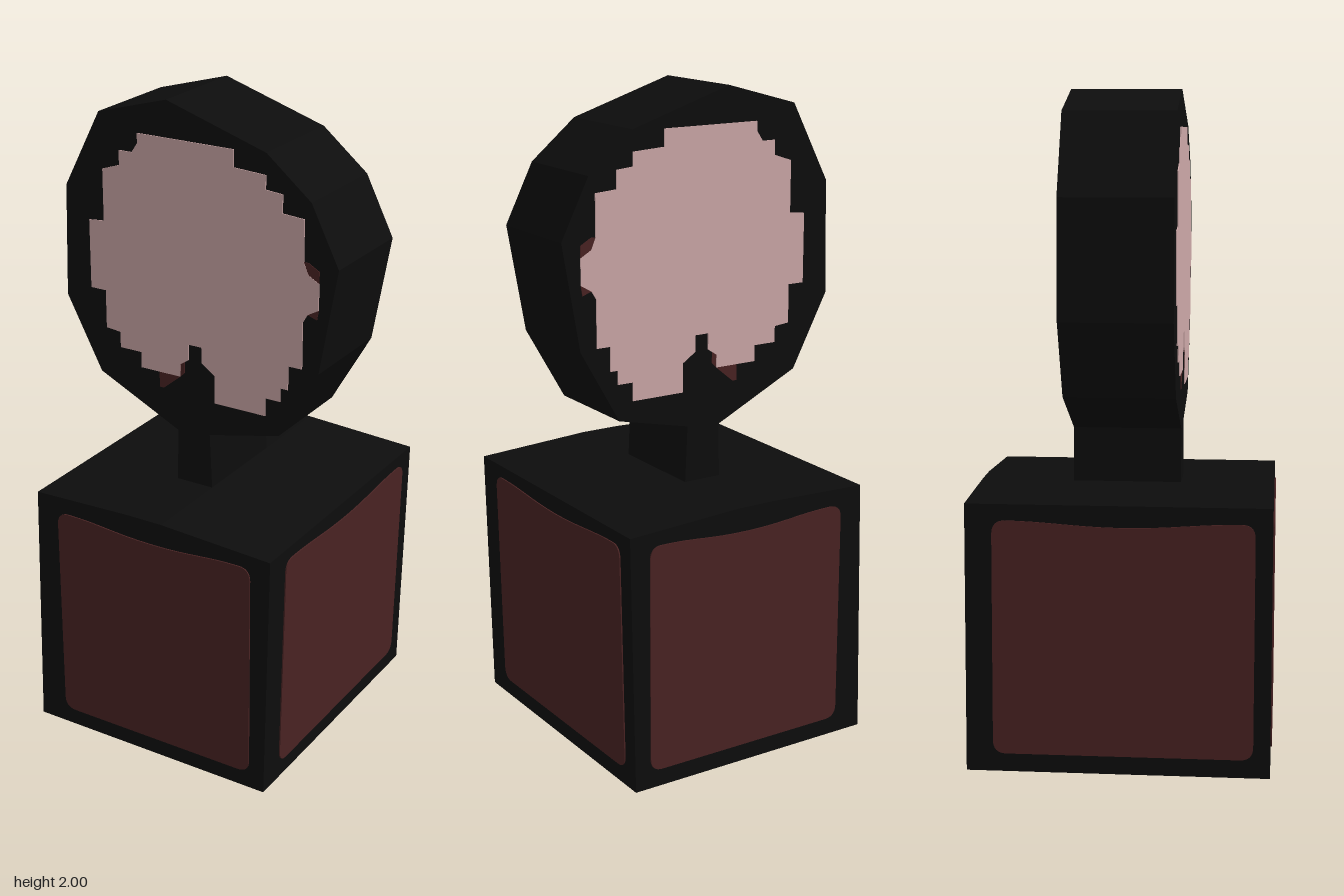
import * as THREE from 'three';

const mat = (name, color) => {
  const m = new THREE.MeshStandardMaterial({ color });
  m.name = name;
  return m;
};

const polygon = (points) => new THREE.Shape(points.map(([x, y]) => new THREE.Vector2(x, y)));

// Straight prism of a front outline, centred on z
function prism(points, depth) {
  const g = new THREE.ExtrudeGeometry(polygon(points), { depth, bevelEnabled: false });
  return g.translate(0, 0, -depth / 2);
}

// Rounded panel outline whose top edge sags gently in the middle
function panelShape(u0, u1) {
  const r = 0.04, y0 = 0.055, y1 = 0.757, mid = (u0 + u1) / 2;
  const s = new THREE.Shape();
  s.moveTo(u0 + r, y0);
  s.lineTo(u1 - r, y0);
  s.quadraticCurveTo(u1, y0, u1, y0 + r);
  s.lineTo(u1, y1 - r);
  s.quadraticCurveTo(u1, y1, u1 - r, y1);
  s.bezierCurveTo(u1 - 0.16, y1, mid + 0.14, y1 - 0.016, mid, y1 - 0.016);
  s.bezierCurveTo(mid - 0.14, y1 - 0.016, u0 + 0.16, y1, u0 + r, y1);
  s.quadraticCurveTo(u0, y1, u0, y1 - r);
  s.lineTo(u0, y0 + r);
  s.quadraticCurveTo(u0, y0, u0 + r, y0);
  return s;
}

export function createModel() {
  const group = new THREE.Group();
  const black = mat('black', 0x0d0d0d);
  const maroon = mat('maroon', 0x4a2323);
  const pink = mat('pink', 0xcea9a9);
  const add = (name, geometry, material) => {
    const mesh = new THREE.Mesh(geometry, material);
    mesh.name = name;
    group.add(mesh);
    return mesh;
  };

  // Slightly leaning base block
  add('base', prism([
    [-0.42, 0], [0.405, 0], [0.42, 0.795], [0.05, 0.815], [-0.07, 0.815], [-0.4, 0.805],
  ], 0.9), black);

  // Stem and faceted disc share one depth
  add('stem', prism([[-0.075, 0.8], [0.05, 0.8], [0.04, 1.02], [-0.07, 1.02]], 0.33), black);
  add('head', prism([
    [-0.07, 0.98], [0.04, 0.99], [0.28, 1.045], [0.408, 1.27], [0.465, 1.595], [0.375, 1.775],
    [0.23, 1.895], [-0.1, 2], [-0.335, 1.935], [-0.46, 1.695], [-0.47, 1.345], [-0.35, 1.115],
  ], 0.33), black);

  // Base panels: name, extent along the face, turn about y, seat on the face
  const plate = 0.004;
  const panels = [
    ['frontPanel', -0.325, 0.355, 0, (x, y, z) => [x, z + 0.45]],
    ['backPanel', -0.355, 0.325, Math.PI, (x, y, z) => [x, z - 0.45]],
    ['leftPanel', -0.36, 0.395, Math.PI / 2, (x, y, z) => [x + 0.405 + 0.0189 * y, z]],
    ['rightPanel', -0.37, 0.4, -Math.PI / 2, (x, y, z) => [x - 0.42 + 0.0248 * y, z]],
  ];
  for (const [name, u0, u1, turn, seat] of panels) {
    const g = new THREE.ExtrudeGeometry(panelShape(u0, u1),
      { depth: plate, bevelEnabled: false, curveSegments: 8 });
    g.rotateY(turn);
    const p = g.attributes.position;
    for (let i = 0; i < p.count; i++) {
      const [x, z] = seat(p.getX(i), p.getY(i), p.getZ(i));
      p.setX(i, x);
      p.setZ(i, z);
    }
    g.computeVertexNormals();
    add(name, g, maroon);
  }

  // Stepped pale face, cut right through so it shows front and back
  add('discFace', prism([
    [-0.2, 1.89], [-0.2, 1.86], [-0.22, 1.83], [-0.265, 1.83], [-0.265, 1.785], [-0.325, 1.765],
    [-0.325, 1.605], [-0.378, 1.6], [-0.378, 1.385], [-0.325, 1.385], [-0.325, 1.265],
    [-0.275, 1.26], [-0.275, 1.21], [-0.2, 1.21], [-0.2, 1.16], [-0.06, 1.16], [-0.06, 1.2],
    [-0.03, 1.22], [-0.03, 1.27], [0.015, 1.27], [0.015, 1.22], [0.06, 1.19], [0.06, 1.1],
    [0.235, 1.1], [0.235, 1.157], [0.285, 1.157], [0.285, 1.2], [0.31, 1.2], [0.31, 1.275],
    [0.355, 1.275], [0.355, 1.42], [0.37, 1.445], [0.405, 1.465], [0.405, 1.545], [0.37, 1.565],
    [0.355, 1.6], [0.355, 1.725], [0.285, 1.73], [0.285, 1.785], [0.23, 1.79], [0.23, 1.832],
    [0.125, 1.838], [0.125, 1.89],
  ], 0.336), pink);

  // Small dark red slivers at the edge of the pale face
  const slivers = [
    [[0.355, 1.6], [0.37, 1.565], [0.405, 1.545], [0.405, 1.58], [0.37, 1.6]],
    [[0.37, 1.445], [0.4, 1.435], [0.405, 1.465]],
    [[-0.135, 1.16], [-0.135, 1.11], [-0.12, 1.11], [-0.06, 1.16]],
    [[-0.06, 1.16], [-0.045, 1.175], [-0.045, 1.21], [-0.06, 1.2]],
    [[0.03, 1.21], [0.06, 1.19], [0.06, 1.1], [0.066, 1.1], [0.07, 1.21], [0.04, 1.22]],
  ];
  slivers.forEach((points, i) => add('faceSliver' + (i + 1), prism(points, 0.334), maroon));

  return group;
}
